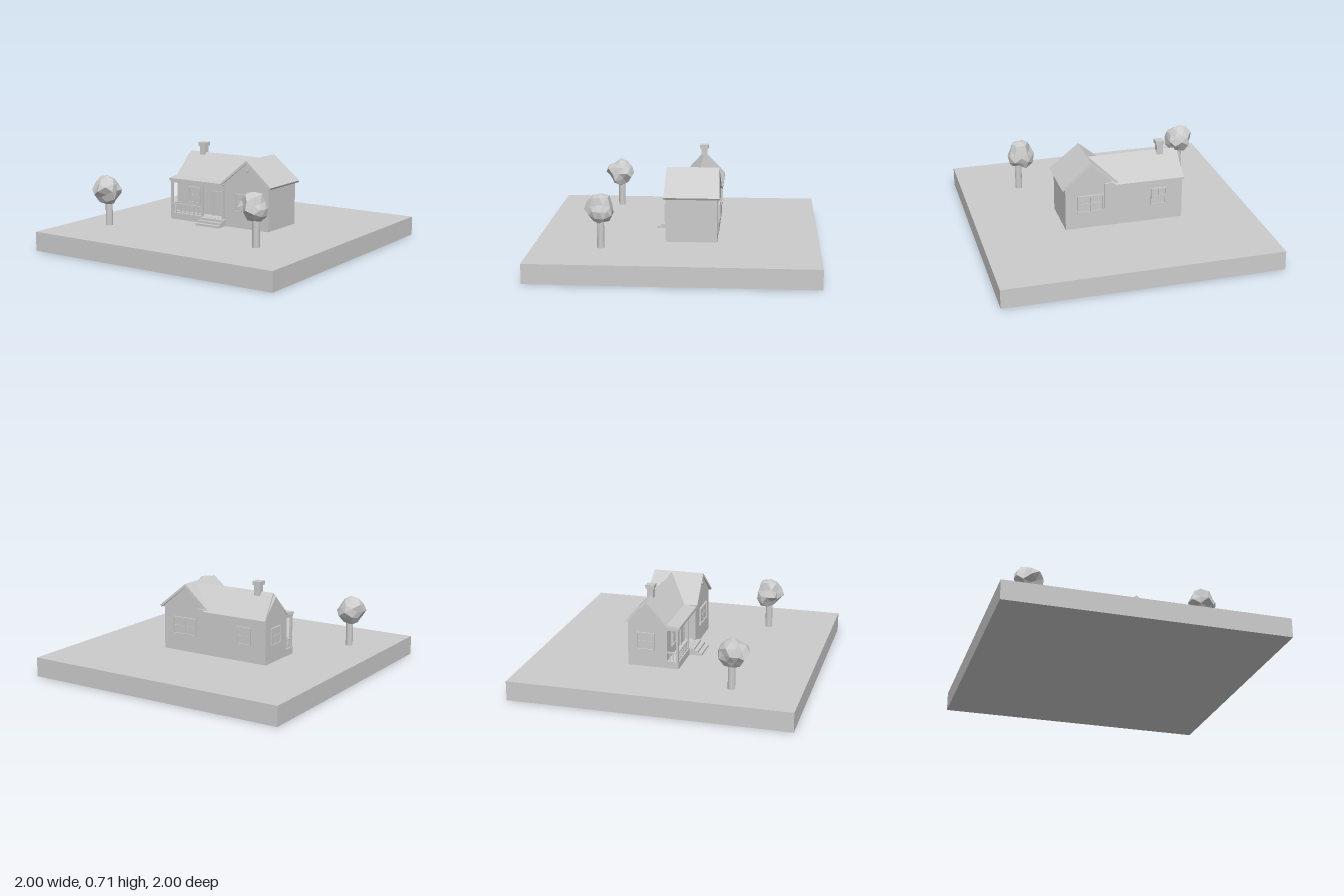
import * as THREE from 'three';

const mat = new THREE.MeshStandardMaterial({ color: 0xcccccc, flatShading: true });
const GROUND = 0.14;

function add(parent, name, geo) {
  const mesh = new THREE.Mesh(geo, mat);
  mesh.name = name;
  parent.add(mesh);
  return mesh;
}

// Box given by its min and max on each axis
function box(parent, name, x0, x1, y0, y1, z0, z1) {
  const mesh = add(parent, name, new THREE.BoxGeometry(x1 - x0, y1 - y0, z1 - z0));
  mesh.position.set((x0 + x1) / 2, (y0 + y1) / 2, (z0 + z1) / 2);
  return mesh;
}

// Profile extruded from a to b; each end shifts outward with depth below the ridge
function prism(points, a, b, ridge = 0, leanA = 0, leanB = 0) {
  const shape = new THREE.Shape(points.map(([x, y]) => new THREE.Vector2(x, y)));
  const geo = new THREE.ExtrudeGeometry(shape, { depth: b - a, bevelEnabled: false });
  geo.translate(0, 0, a);
  const p = geo.attributes.position;
  for (let i = 0; i < p.count; i++) {
    const drop = ridge - p.getY(i);
    const atEnd = p.getZ(i) > (a + b) / 2;
    p.setZ(i, p.getZ(i) + drop * (atEnd ? leanB : -leanA));
  }
  geo.computeVertexNormals();
  return geo;
}

// Framed window facing +z, centred on its origin
function makeWindow(parent, name, w, h, crossbar) {
  const g = new THREE.Group();
  g.name = name;
  const f = 0.01, x = w / 2, y = h / 2;
  box(g, 'pane', -x, x, -y, y, -0.004, 0.003);
  for (const s of [-1, 1]) {
    box(g, 'frameSide', s * x - f / 2, s * x + f / 2, -y - f / 2, y + f / 2, -0.004, 0.012);
    box(g, 'frameRail', -x, x, s * y - f / 2, s * y + f / 2, -0.004, 0.012);
  }
  box(g, 'mullion', -0.004, 0.004, -y, y, 0, 0.008);
  if (crossbar) box(g, 'crossbar', -x, x, -0.004, 0.004, 0, 0.008);
  parent.add(g);
  return g;
}

function makeTree(name, x, z, crown, seed) {
  const g = new THREE.Group();
  g.name = name;
  const trunk = add(g, 'trunk', new THREE.CylinderGeometry(0.026, 0.026, 0.22, 12));
  trunk.position.set(x, GROUND + 0.11, z);
  // Crown: a faceted ball with a repeatable jitter for each corner
  const geo = new THREE.IcosahedronGeometry(0.1, 1);
  const p = geo.attributes.position, v = new THREE.Vector3();
  for (let i = 0; i < p.count; i++) {
    v.fromBufferAttribute(p, i);
    const key = Math.round(v.x * 500) * 12.9 + Math.round(v.y * 500) * 78.2 + Math.round(v.z * 500) * 37.7;
    const n = Math.sin(key + seed) * 43758.5;
    v.multiplyScalar(0.8 + 0.38 * (n - Math.floor(n)));
    p.setXYZ(i, v.x, v.y, v.z);
  }
  geo.computeVertexNormals();
  add(g, 'crown', geo).position.set(...crown);
  return g;
}

function makePorch() {
  const g = new THREE.Group();
  g.name = 'porch';
  box(g, 'deck', -0.48, 0.01, GROUND, 0.19, -0.01, 0.085);
  box(g, 'beam', -0.48, 0.01, 0.42, 0.442, 0.066, 0.085);
  box(g, 'sideBeam', -0.48, -0.462, 0.42, 0.442, 0, 0.085);
  for (const x of [-0.471, -0.195, -0.008]) box(g, 'post', x - 0.008, x + 0.008, 0.19, 0.43, 0.066, 0.082);
  // Railing along the front and the open end
  box(g, 'railTop', -0.47, -0.195, 0.25, 0.26, 0.068, 0.08);
  box(g, 'railBottom', -0.47, -0.195, 0.196, 0.204, 0.07, 0.078);
  box(g, 'sideRailTop', -0.477, -0.465, 0.25, 0.26, 0, 0.08);
  for (let i = 1; i < 7; i++) {
    const x = -0.471 + i * 0.0394;
    box(g, 'baluster', x - 0.004, x + 0.004, 0.19, 0.255, 0.07, 0.078);
  }
  for (const z of [0.02, 0.045]) box(g, 'baluster', -0.475, -0.467, 0.19, 0.255, z - 0.004, z + 0.004);
  for (let i = 0; i < 3; i++) {
    box(g, 'step', -0.185, 0.018, GROUND, 0.156 + i * 0.016, 0.08, 0.178 - i * 0.03);
  }
  return g;
}

function makeHouse() {
  const g = new THREE.Group();
  g.name = 'house';

  // Walls: main part runs along x, wing runs along z
  const mainWall = [[0, GROUND], [0.285, GROUND], [0.285, 0.47], [0.15, 0.61], [0, 0.45]];
  add(g, 'mainWalls', prism(mainWall, -0.478, 0.1)).rotation.y = Math.PI / 2;
  const wingWall = [[0.01, GROUND], [0.388, GROUND], [0.388, 0.465], [0.2, 0.62], [0.01, 0.465]];
  add(g, 'wingWalls', prism(wingWall, -0.282, 0.082));

  // Main roof continues at a shallow slope over the porch
  const mainRoof = [[-0.093, 0.452], [-0.093, 0.438], [0, 0.444], [0.15, 0.612], [0.308, 0.446], [0.308, 0.462], [0.15, 0.632], [0, 0.462]];
  add(g, 'mainRoof', prism(mainRoof, -0.455, 0.19, 0.632, 0.17, -0.97)).rotation.y = Math.PI / 2;
  const wingRoof = [[-0.015, 0.46], [-0.01, 0.445], [0.2, 0.618], [0.408, 0.45], [0.416, 0.464], [0.2, 0.642]];
  add(g, 'wingRoof', prism(wingRoof, -0.288, 0.088, 0.642, 0.06, 0.05));

  // Chimney
  box(g, 'chimneyStack', -0.362, -0.316, 0.56, 0.68, -0.178, -0.132);
  box(g, 'chimneyCap', -0.37, -0.308, 0.678, 0.706, -0.187, -0.124);

  // Windows
  makeWindow(g, 'porchWindow', 0.1, 0.115, true).position.set(-0.315, 0.325, 0);
  makeWindow(g, 'wingFrontWindow', 0.185, 0.12, true).position.set(0.205, 0.328, 0.084);
  const backWindows = [['wingBackWindow', 0.185, 0.205], ['mainBackWindow', 0.105, -0.3]];
  for (const [name, w, x] of backWindows) {
    const win = makeWindow(g, name, w, 0.12, true);
    win.position.set(x, 0.328, x > 0 ? -0.284 : -0.286);
    win.rotation.y = Math.PI;
  }
  const side = makeWindow(g, 'sideWindow', 0.12, 0.12, true);
  side.position.set(-0.479, 0.328, -0.155);
  side.rotation.y = -Math.PI / 2;

  // Gable vent
  const vent = box(g, 'gableVent', 0.188, 0.212, 0.555, 0.579, 0.08, 0.087);
  vent.rotation.z = Math.PI / 4;

  // Front door with frame and knob
  box(g, 'door', -0.138, -0.052, 0.19, 0.365, -0.002, 0.004);
  for (const x of [-0.142, -0.048]) box(g, 'doorJamb', x - 0.005, x + 0.005, 0.19, 0.375, -0.002, 0.012);
  box(g, 'doorLintel', -0.142, -0.048, 0.363, 0.375, -0.002, 0.012);
  add(g, 'doorKnob', new THREE.SphereGeometry(0.005, 8, 6)).position.set(-0.065, 0.27, 0.008);

  g.add(makePorch());
  return g;
}

export function createModel() {
  const model = new THREE.Group();
  model.name = 'cottageScene';
  box(model, 'groundSlab', -1, 1, 0, GROUND, -1, 1);
  model.add(makeHouse());
  model.add(makeTree('rightTree', -0.717, 0.52, [-0.72, 0.405, 0.53], 1.3));
  model.add(makeTree('leftTree', 0.567, 0.52, [0.553, 0.41, 0.52], 4.7));
  return model;
}
